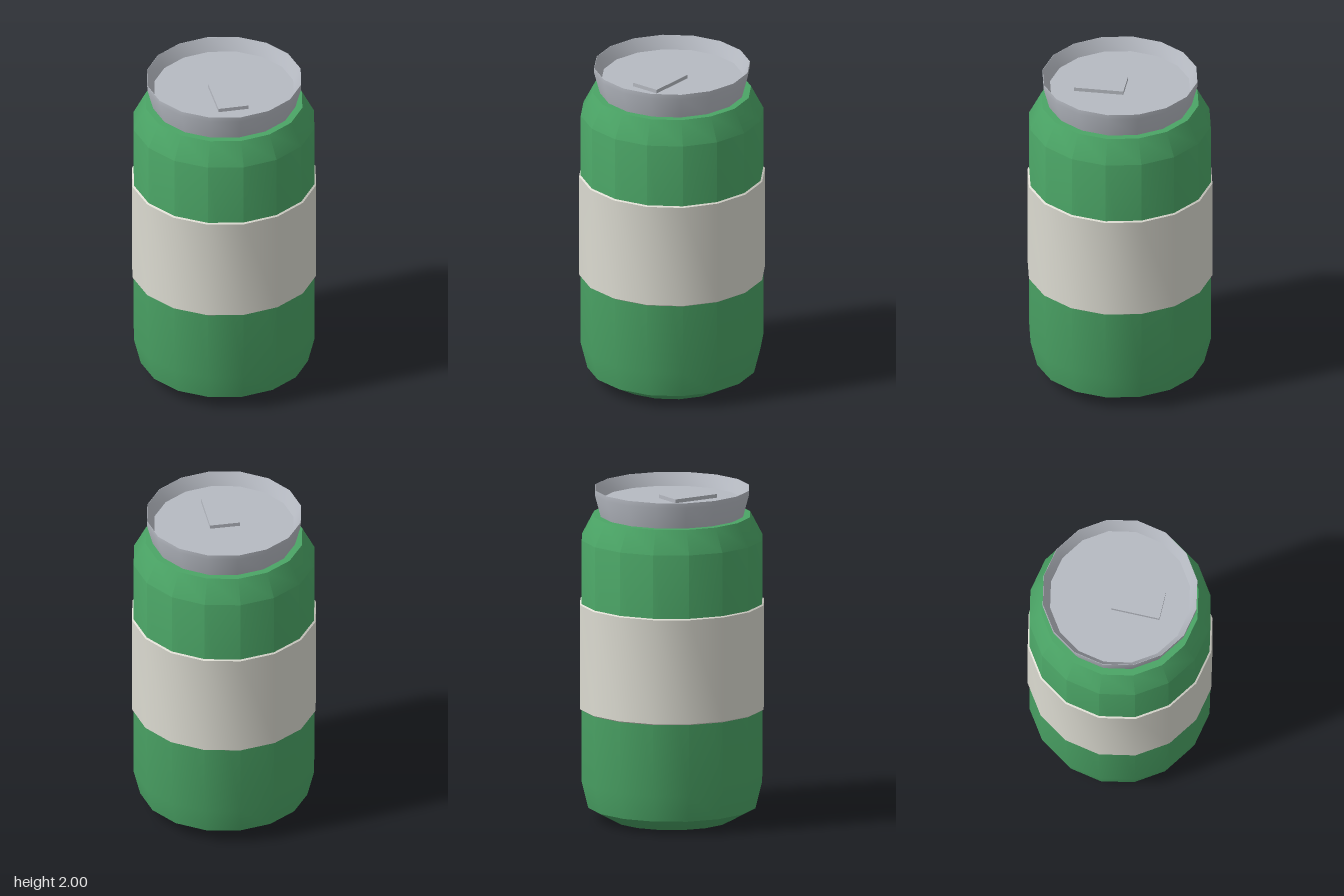
import * as THREE from 'three';
import { toCreasedNormals } from 'three/addons/utils/BufferGeometryUtils.js';

const SIDES = 16;

export function createModel() {
  const green = new THREE.MeshStandardMaterial({ color: 0x4ba566 });
  green.name = 'green paint';
  const cream = new THREE.MeshStandardMaterial({ color: 0xdcdbd1 });
  cream.name = 'cream label';
  const silver = new THREE.MeshStandardMaterial({ color: 0xb6bac2 });
  silver.name = 'silver metal';

  const can = new THREE.Group();
  can.name = 'drinkCan';

  // Adds one turned part from [radius, height] pairs, outside running upward
  function addTurned(name, profile, material) {
    const points = profile.map(([r, y]) => new THREE.Vector2(r, y));
    const geometry = toCreasedNormals(new THREE.LatheGeometry(points, SIDES), 0.6);
    const mesh = new THREE.Mesh(geometry, material);
    mesh.name = name;
    can.add(mesh);
  }

  // Body with tapered foot and shoulder
  addTurned('body', [
    [0, 0], [0.36, 0], [0.505, 0.08], [0.545, 0.24],
    [0.545, 1.7], [0.472, 1.84], [0.42, 1.84],
  ], green);

  // Label band with tiny bevelled edges
  addTurned('labelBand', [
    [0.54, 0.67], [0.555, 0.68], [0.555, 1.31], [0.54, 1.32],
  ], cream);

  // Flared rim with a sunken lid
  addTurned('rimAndLid', [
    [0.43, 1.84], [0.465, 1.97], [0.465, 2], [0.463, 2], [0.42, 1.925], [0, 1.925],
  ], silver);

  // Pull tab lying on the lid, towards the front
  const tab = new THREE.Mesh(new THREE.BoxGeometry(0.18, 0.025, 0.295), silver);
  tab.name = 'pullTab';
  tab.position.set(0, 1.935, 0.113);
  can.add(tab);

  return can;
}
